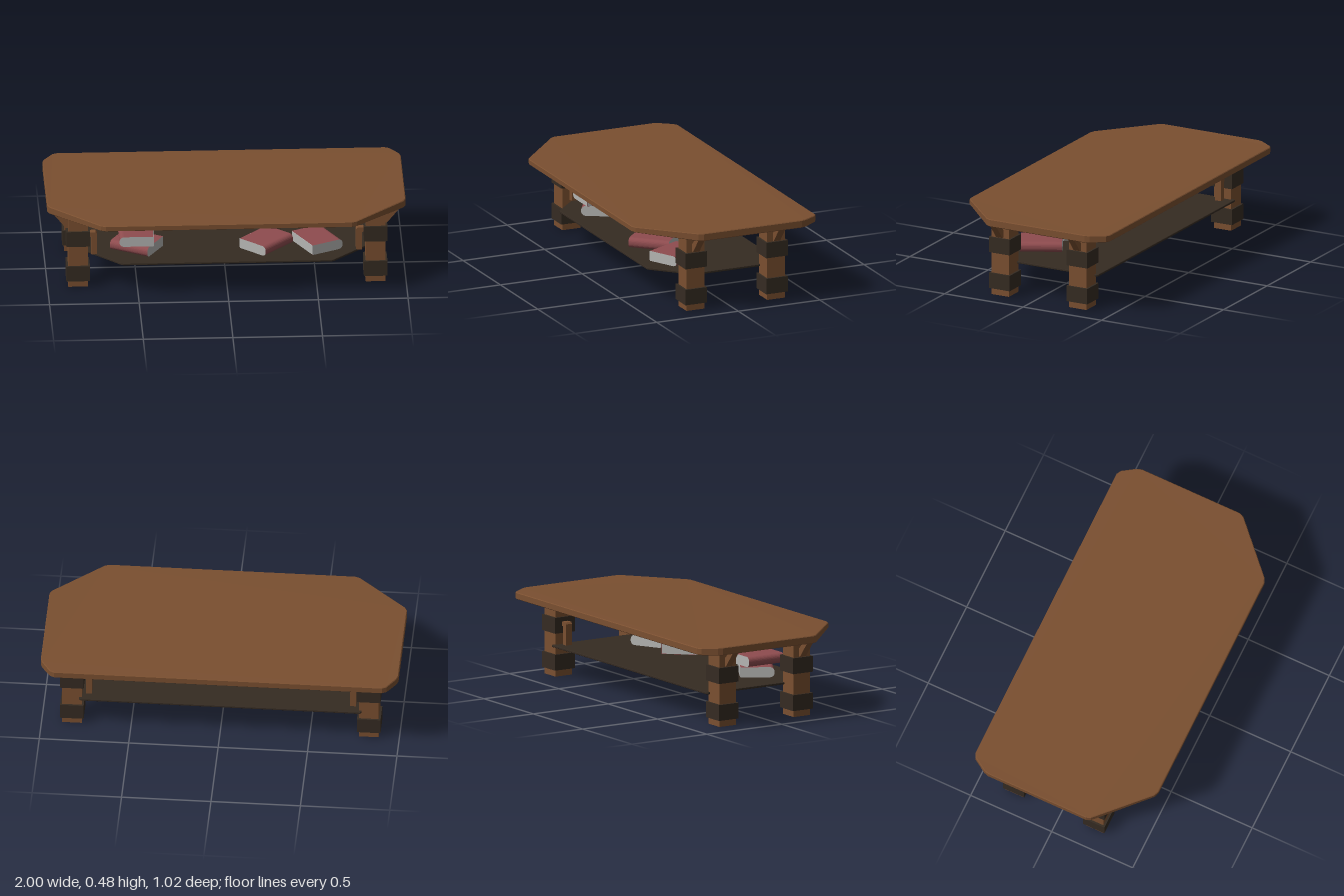
import * as THREE from 'three';

const mat = (name, color, side = THREE.FrontSide) => {
  const m = new THREE.MeshStandardMaterial({ color, side });
  m.name = name;
  return m;
};

export function createModel() {
  const wood = mat('brown wood', 0x7a4f30);
  const iron = mat('dark iron', 0x352b22);
  const cover = mat('red cover', 0x8f4c4f);
  const paper = mat('grey paper', 0xb4b4b2);

  const root = new THREE.Group();
  root.name = 'coffeeTable';
  const add = (parent, name, geo, material, x = 0, y = 0, z = 0) => {
    const mesh = new THREE.Mesh(geo, material);
    mesh.name = name;
    mesh.position.set(x, y, z);
    parent.add(mesh);
    return mesh;
  };

  // Flat board from the +x half of its outline [x, z], mirrored, corners clipped
  const board = (half, yTop, thick, bevel, clip) => {
    const pts = [...half, ...half.map(([x, z]) => [-x, z]).reverse()]
      .map(([x, z]) => new THREE.Vector2(x - Math.sign(x) * bevel, z - Math.sign(z) * bevel));
    const outline = [];
    pts.forEach((p, i) => {
      const prev = pts[(i + pts.length - 1) % pts.length];
      const next = pts[(i + 1) % pts.length];
      for (const q of [prev, next]) {
        outline.push(p.clone().add(q.clone().sub(p).setLength(clip)));
      }
    });
    const geo = new THREE.ExtrudeGeometry(new THREE.Shape(outline), {
      depth: thick - 2 * bevel, bevelEnabled: true, bevelSize: bevel,
      bevelThickness: bevel, bevelSegments: 1,
    });
    return geo.rotateX(Math.PI / 2).translate(0, yTop - bevel, 0);
  };

  // Table top, a little thinner towards the front and back edges
  const top = board([[0.935, -0.51], [1, -0.41], [1, 0.23], [0.705, 0.51]], 0.48, 0.044, 0.004, 0.015);
  const pos = top.attributes.position;
  for (let i = 0; i < pos.count; i++) {
    const z = pos.getZ(i);
    const t = z > 0 ? 0.3 * Math.max(0, (z - 0.23) / 0.28) : 0.12 * Math.max(0, (-z - 0.41) / 0.1);
    pos.setY(i, 0.458 + (pos.getY(i) - 0.458) * (1 - t));
  }
  top.computeVertexNormals();
  add(root, 'tableTop', top, wood);

  // Lower shelf
  add(root, 'shelf',
    board([[0.79, -0.36], [0.79, 0.17], [0.59, 0.37]], 0.185, 0.012, 0.002, 0.008), iron);

  // Profile in the x-y plane, extruded along z and centred
  const profile = (pts, width) => new THREE.ExtrudeGeometry(
    new THREE.Shape(pts.map(([x, y]) => new THREE.Vector2(x, y))),
    { depth: width, bevelEnabled: false }).translate(0, 0, -width / 2);

  const braceGeo = profile([[0.05, 0.345], [0.066, 0.345], [0.142, 0.438], [0.105, 0.438], [0.05, 0.385]], 0.04);
  const hookGeo = profile([[0.05, 0.29], [0.075, 0.29], [0.075, 0.183], [0.108, 0.183],
    [0.108, 0.305], [0.1, 0.315], [0.05, 0.315]], 0.04);

  // Legs with iron bands, an outer brace and an inner shelf hook
  for (const side of [1, -1]) {
    for (const [z, end] of [[0.21, 'front'], [-0.285, 'back']]) {
      const leg = new THREE.Group();
      leg.name = end + (side > 0 ? 'LeftLeg' : 'RightLeg');
      leg.position.set(side * 0.83, 0, z);
      if (side < 0) leg.rotation.y = Math.PI;
      add(leg, 'post', new THREE.BoxGeometry(0.11, 0.436, 0.11), wood, 0, 0.221, 0);
      add(leg, 'footPad', new THREE.BoxGeometry(0.08, 0.006, 0.08), iron, 0, 0.003, 0);
      for (const y of [0.085, 0.295]) {
        add(leg, 'band', new THREE.BoxGeometry(0.132, 0.09, 0.132), iron, 0, y, 0);
      }
      add(leg, 'brace', braceGeo, wood);
      add(leg, 'shelfHook', hookGeo, wood).rotation.y = Math.PI;
      root.add(leg);
    }
  }

  // Book: rounded spine on local +x, page ends on local z
  const book = (name, x, y, z, degrees) => {
    const W = 0.19, L = 0.235, H = 0.058, r = 0.026;
    const g = new THREE.Group();
    g.name = name;
    g.position.set(x, y, z);
    g.rotation.y = THREE.MathUtils.degToRad(degrees);
    const s = new THREE.Shape();
    s.moveTo(-W / 2, 0);
    s.lineTo(W / 2 - r, 0);
    s.absarc(W / 2 - r, r, r, -Math.PI / 2, 0);
    s.lineTo(W / 2, H - r);
    s.absarc(W / 2 - r, H - r, r, 0, Math.PI / 2);
    s.lineTo(-W / 2, H);
    const body = new THREE.ExtrudeGeometry(s, { depth: L, bevelEnabled: false, curveSegments: 3 });
    add(g, 'coverAndPages', body.translate(0, 0, -L / 2), [paper, cover]);
    add(g, 'pageEdge', new THREE.BoxGeometry(0.004, H - 0.004, L - 0.004), paper, -W / 2 - 0.001, H / 2, 0);
    root.add(g);
  };
  book('lowerStackedBook', -0.5, 0.186, 0.16, -120);
  book('upperStackedBook', -0.505, 0.247, 0.163, 180);
  book('middleBook', 0.225, 0.186, 0.163, -43);
  book('sideBook', 0.51, 0.186, 0.155, 27);

  return root;
}
